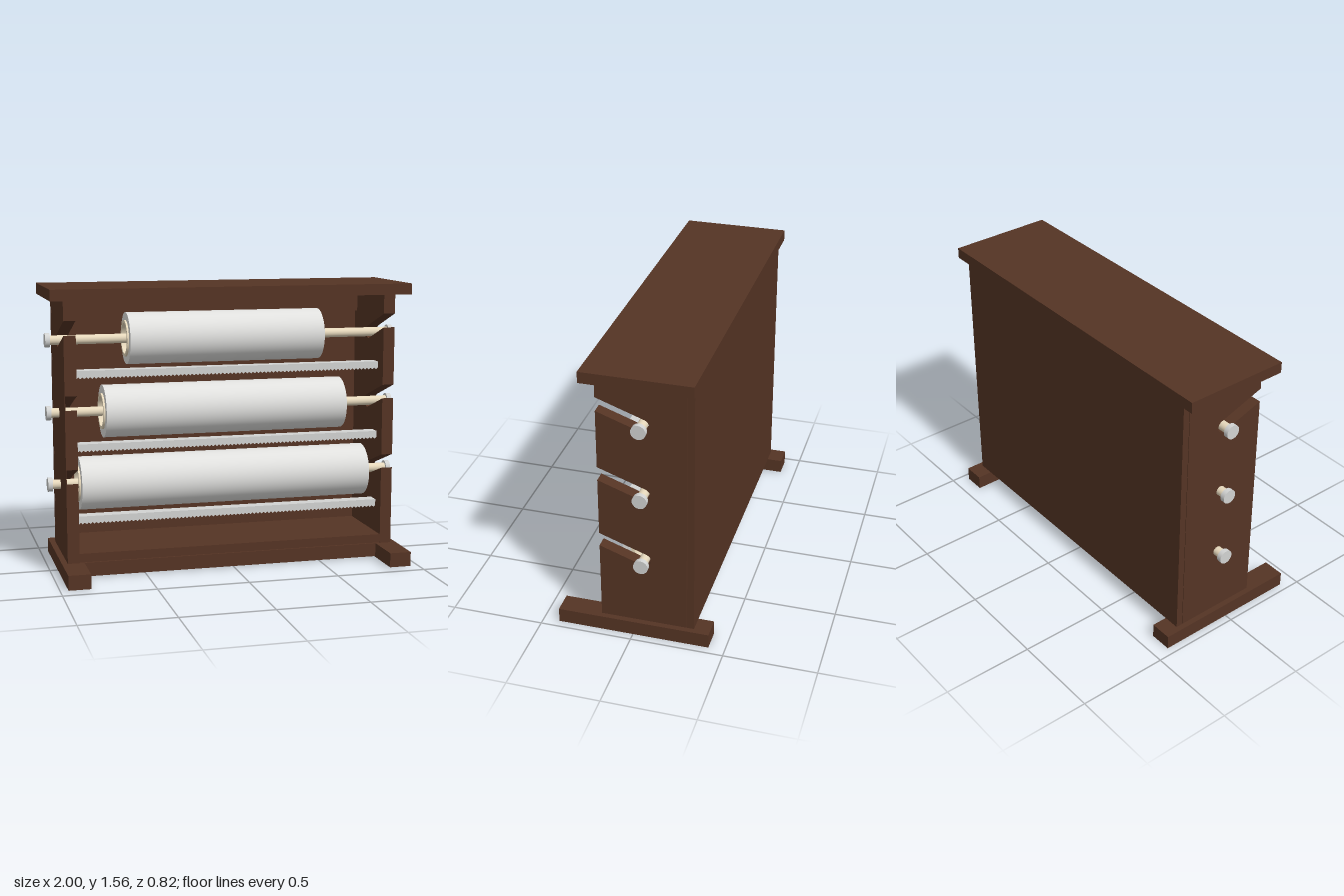
import * as THREE from 'three';
import { toCreasedNormals } from 'three/addons/utils/BufferGeometryUtils.js';

const mat = (name, color) => {
  const m = new THREE.MeshStandardMaterial({ color });
  m.name = name;
  return m;
};

const TILT = THREE.MathUtils.degToRad(19.5); // slope of the rod slots
const SLOT_R = 0.036, ROD_Z = -0.06, FRONT = 0.18;
const ROLLS = [
  { y: 0.47, half: 0.825, r: 0.147 },
  { y: 0.867, half: 0.685, r: 0.145 },
  { y: 1.265, half: 0.55, r: 0.142 },
];

// Traces one slot from its lower mouth, round the rod seat, to its upper mouth (x = depth, y = height)
function traceSlot(shape, y) {
  const mouth = (side) => {
    const z = ROD_Z - side * SLOT_R * Math.sin(TILT);
    return y + side * SLOT_R * Math.cos(TILT) + (FRONT - z) * Math.tan(TILT);
  };
  shape.lineTo(FRONT, mouth(-1));
  shape.absarc(ROD_Z, y, SLOT_R, TILT - Math.PI / 2, TILT - Math.PI * 1.5, true);
  shape.lineTo(FRONT, mouth(1));
  return mouth(-1);
}

// Extrudes a side-view shape along x, from xMax toward -x
function extrudeSide(shape, xMax, depth) {
  const g = new THREE.ExtrudeGeometry(shape, { depth, bevelEnabled: false, curveSegments: 16 });
  g.rotateY(-Math.PI / 2);
  g.translate(xMax, 0, 0);
  return g;
}

// Hollow tube lying along x
function tube(inner, outer, half) {
  const p = [[inner, -half], [outer, -half], [outer, half], [inner, half], [inner, -half]];
  const g = new THREE.LatheGeometry(p.map(([x, y]) => new THREE.Vector2(x, y)), 56);
  return toCreasedNormals(g, 0.6).rotateZ(Math.PI / 2);
}

// Flat blade with a saw-toothed lower edge
function bladeGeometry(half, top, bottom, teeth) {
  const s = new THREE.Shape();
  s.moveTo(half, top);
  s.lineTo(-half, top);
  const step = (2 * half) / teeth;
  for (let i = 0; i < teeth; i++) {
    s.lineTo(-half + i * step, bottom + 0.009);
    s.lineTo(-half + (i + 0.5) * step, bottom);
  }
  s.lineTo(half, bottom + 0.009);
  return new THREE.ExtrudeGeometry(s, { depth: 0.006, bevelEnabled: false });
}

export function createModel() {
  const wood = mat('dark wood', 0x553424);
  const paper = mat('white paper', 0xe0e0de);
  const beech = mat('pale wood', 0xe6d8bc);
  const metal = mat('light metal', 0xd2d3d2);
  const root = new THREE.Group();
  root.name = 'rollDispenser';

  const add = (name, geometry, material, parent = root) => {
    const m = new THREE.Mesh(geometry, material);
    m.name = name;
    parent.add(m);
    return m;
  };
  // Box given by its limits on each axis
  const box = (name, [x0, x1], [y0, y1], [z0, z1], material = wood, parent = root) => {
    const m = add(name, new THREE.BoxGeometry(x1 - x0, y1 - y0, z1 - z0), material, parent);
    m.position.set((x0 + x1) / 2, (y0 + y1) / 2, (z0 + z1) / 2);
    return m;
  };

  // Cabinet
  box('topBoard', [-1, 1], [1.497, 1.557], [-0.343, 0.237]);
  box('backPanel', [-0.925, 0.925], [0.08, 1.495], [-0.326, -0.289]);
  box('floorBoard', [-0.86, 0.86], [0.082, 0.13], [-0.287, 0.175]);
  box('frontApron', [-0.835, 0.835], [0.004, 0.08], [0.15, 0.18]);
  box('backRail', [-0.86, 0.86], [1.372, 1.497], [-0.288, -0.25]);
  box('leftFoot', [0.835, 0.956], [0, 0.08], [-0.412, 0.412]);
  box('rightFoot', [-0.956, -0.835], [0, 0.08], [-0.412, 0.412]);

  // Side panels with sloping slots open to the front
  const side = new THREE.Shape();
  side.moveTo(-0.286, 0.08);
  side.lineTo(FRONT, 0.08);
  ROLLS.forEach(({ y }) => traceSlot(side, y));
  side.lineTo(FRONT, 1.497);
  side.lineTo(-0.286, 1.497);
  add('leftSidePanel', extrudeSide(side, 0.925, 0.065), wood);
  add('rightSidePanel', extrudeSide(side, -0.86, 0.065), wood);

  // Thin outer covers over the two lower slots of the right panel
  ROLLS.slice(0, 2).forEach(({ y }) => {
    const cover = new THREE.Shape();
    cover.moveTo(FRONT, y + 0.07);
    const low = traceSlot(cover, y);
    cover.lineTo(FRONT, low);
    add('slotCover', extrudeSide(cover, -0.922, 0.003), wood);
  });

  // Rolls on rods, each with a cutter bar below
  ROLLS.forEach(({ y, half, r }) => {
    const roll = new THREE.Group();
    roll.name = 'rollAssembly';
    roll.position.set(0, y, ROD_Z);
    root.add(roll);
    add('paperRoll', tube(0.1, r, half), paper, roll);
    add('rollCore', tube(0.083, 0.1, half + 0.01), beech, roll);
    const rod = new THREE.CylinderGeometry(0.026, 0.026, 1.94, 28).rotateZ(Math.PI / 2);
    add('rod', rod, beech, roll);
    for (const s of [-1, 1]) {
      const knob = new THREE.CylinderGeometry(0.039, 0.039, 0.026, 28).rotateZ(Math.PI / 2);
      add('endKnob', knob, metal, roll).position.x = s * 0.982;
    }

    const cutter = new THREE.Group();
    cutter.name = 'cutter';
    cutter.position.y = y - 0.152;
    root.add(cutter);
    box('cutterBar', [-0.86, 0.86], [-0.033, 0], [0.03, 0.094], metal, cutter);
    add('cutterBlade', bladeGeometry(0.86, 0, -0.044, 80), metal, cutter).position.z = 0.094;
  });

  return root;
}
